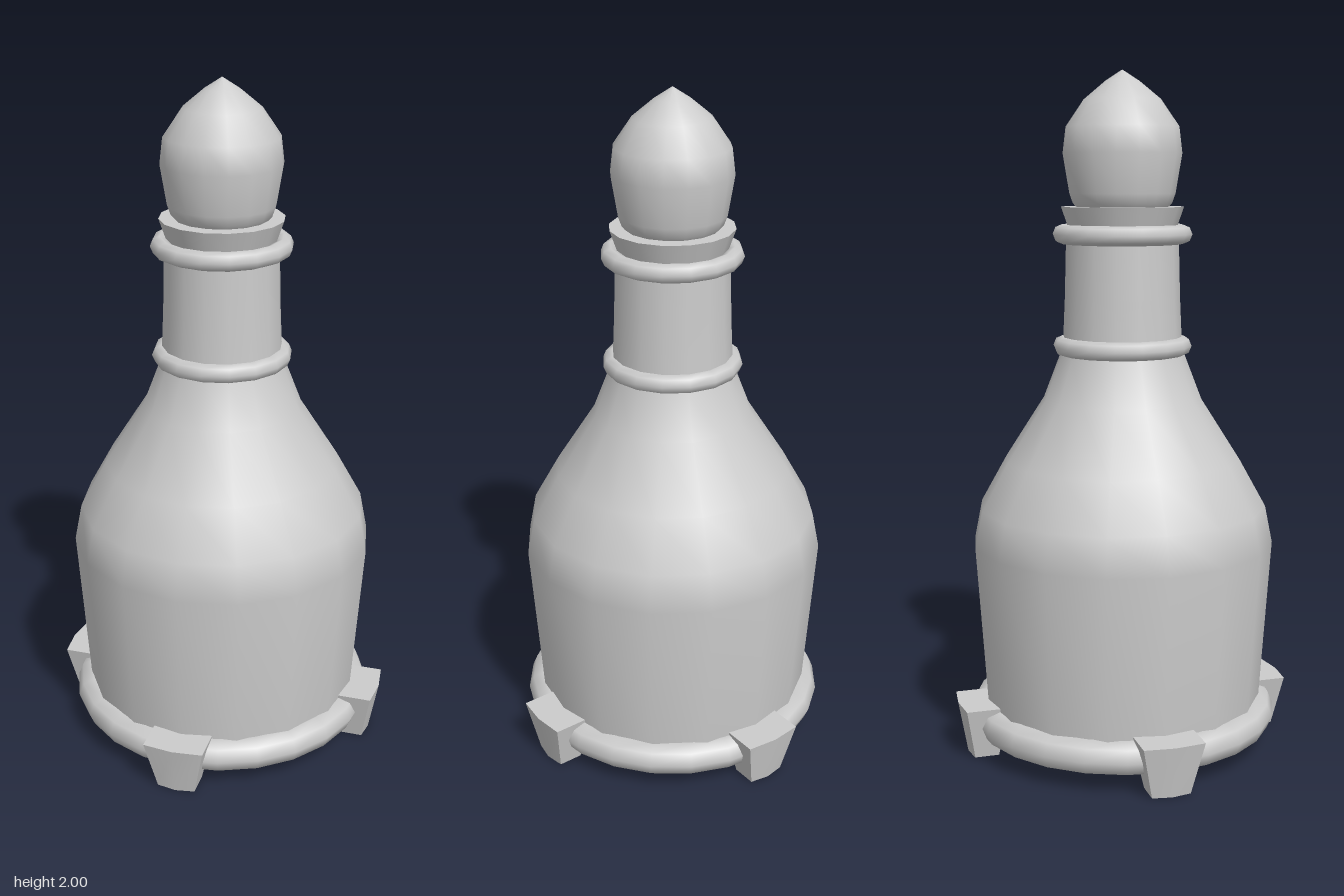
import * as THREE from 'three';

const material = new THREE.MeshStandardMaterial({ color: 0xcccccc, side: THREE.DoubleSide });

function add(parent, name, geometry) {
  const mesh = new THREE.Mesh(geometry, material);
  mesh.name = name;
  parent.add(mesh);
  return mesh;
}

// Turned part from [radius, height] pairs, bottom to top
function turned(points, segments = 16) {
  return new THREE.LatheGeometry(points.map(([r, y]) => new THREE.Vector2(r, y)), segments);
}

function ring(radius, tube, y, segments) {
  return new THREE.TorusGeometry(radius, tube, 8, segments).rotateX(Math.PI / 2).translate(0, y, 0);
}

// Tapered foot block facing +z: narrower and shallower at the floor, outer face slightly bowed
function footGeometry() {
  const height = 0.155;
  const box = new THREE.BoxGeometry(2, height, 1, 2, 1, 1).translate(0, height / 2, 0);
  const p = box.attributes.position;
  for (let i = 0; i < p.count; i++) {
    const top = p.getY(i) > 0.01;
    const side = p.getX(i);
    const outer = p.getZ(i) > 0;
    const bow = Math.abs(side) * 0.01;
    p.setX(i, side * (top ? 0.09 : 0.057));
    p.setZ(i, outer ? (top ? 0.51 : 0.482) - bow : (top ? 0.38 : 0.4));
  }
  box.computeVertexNormals();
  return box;
}

export function createModel() {
  const model = new THREE.Group();
  model.name = 'bottle';

  // Bottle body with closed base
  add(model, 'base', turned([[0, 0.047], [0.413, 0.047]]));
  add(model, 'body', turned([
    [0.41, 0.047], [0.418, 0.15], [0.45, 0.62], [0.428, 0.73],
    [0.35, 0.87], [0.235, 1.05], [0.185, 1.18], [0.175, 1.22],
  ]));

  // Neck and flared lip
  add(model, 'neck', turned([[0.177, 1.2], [0.17, 1.35], [0.165, 1.54]]));
  add(model, 'lip', turned([[0.155, 1.54], [0.18, 1.612]]));
  add(model, 'lipTop', turned([[0.18, 1.612], [0, 1.612]]));

  // Collars and base ring
  add(model, 'lowerCollar', ring(0.177, 0.028, 1.207, 16));
  add(model, 'upperCollar', ring(0.177, 0.028, 1.533, 16));
  add(model, 'baseRing', ring(0.413, 0.05, 0.095, 24));

  // Pointed stopper
  add(model, 'stopper', turned([
    [0.13, 1.605], [0.145, 1.622], [0.155, 1.65], [0.174, 1.765],
    [0.165, 1.84], [0.112, 1.917], [0.05, 1.968], [0, 2],
  ]));

  // Four feet around the base
  const foot = footGeometry();
  for (let i = 0; i < 4; i++) add(model, 'foot', foot).rotation.y = (i * Math.PI) / 2;

  return model;
}
